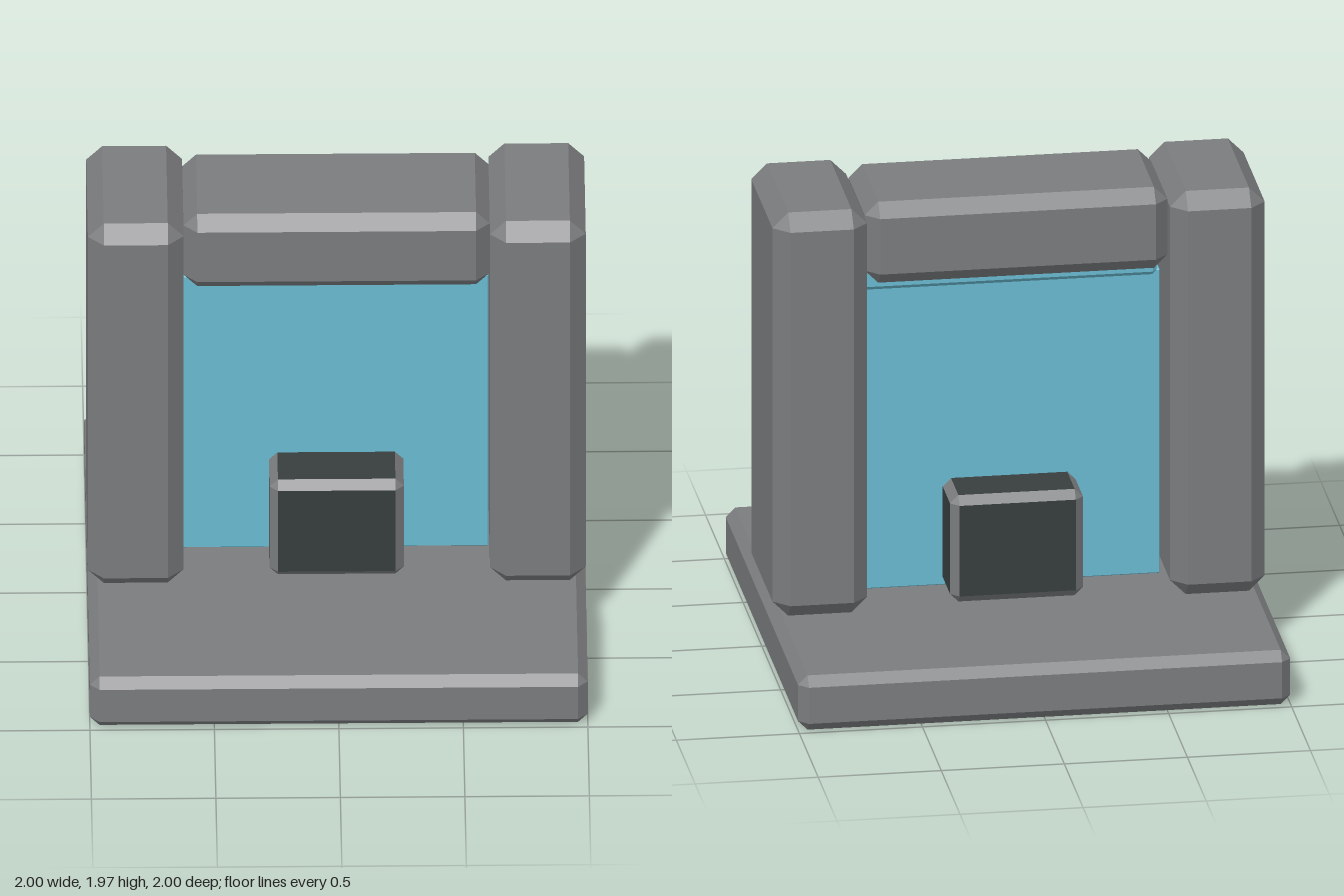
import * as THREE from 'three';
import { ConvexGeometry } from 'three/addons/geometries/ConvexGeometry.js';

// Box with flat 45 degree chamfers, standing with its underside at y0
function chamferBox(w, y0, y1, d, bevel) {
  const half = [w / 2, (y1 - y0) / 2, d / 2];
  const points = [];
  for (const sx of [-1, 1]) for (const sy of [-1, 1]) for (const sz of [-1, 1]) {
    const s = [sx, sy, sz];
    for (let axis = 0; axis < 3; axis++) {
      const p = half.map((h, i) => s[i] * (i === axis ? h : h - bevel));
      points.push(new THREE.Vector3(...p));
    }
  }
  return new ConvexGeometry(points).translate(0, (y0 + y1) / 2, 0);
}

// Put the flat sides in material group 0 and the chamfers in group 1
function groupChamfers(geometry) {
  const n = geometry.getAttribute('normal');
  for (let i = 0; i < n.count; i += 3) {
    const flat = Math.max(Math.abs(n.getX(i)), Math.abs(n.getY(i)), Math.abs(n.getZ(i))) > 0.99;
    geometry.addGroup(i, 3, flat ? 0 : 1);
  }
  return geometry;
}

export function createModel() {
  const stone = new THREE.MeshStandardMaterial({ color: 0x7b7c7e });
  const darkStone = new THREE.MeshStandardMaterial({ color: 0x373e3d });
  const blue = new THREE.MeshStandardMaterial({ color: 0x6abbd2 });
  stone.name = 'stone';
  darkStone.name = 'darkStone';
  blue.name = 'blue';

  const model = new THREE.Group();
  model.name = 'gateway';
  const add = (name, geometry, material, x = 0) => {
    const mesh = new THREE.Mesh(geometry, material);
    mesh.name = name;
    mesh.position.x = x;
    model.add(mesh);
  };

  // Square plinth
  add('base', chamferBox(2, 0, 0.233, 2, 0.039), stone);

  // Pillars and the lintel between them
  add('leftPillar', chamferBox(0.385, 0.233, 1.965, 0.69, 0.064), stone, 0.8075);
  add('rightPillar', chamferBox(0.385, 0.233, 1.965, 0.69, 0.064), stone, -0.8075);
  add('lintel', chamferBox(1.23, 1.617, 1.965, 0.54, 0.055), stone);

  // Thin panel closing the opening, with a rail along its top
  add('panel', chamferBox(1.225, 0.233, 1.54, 0.06, 0.004), blue);
  add('panelRail', chamferBox(1.195, 1.52, 1.617, 0.1, 0.017), blue);

  // Dark block through the panel, with pale chamfers
  add('block', groupChamfers(chamferBox(0.54, 0.233, 0.69, 0.52, 0.034)), [darkStone, stone]);

  return model;
}
